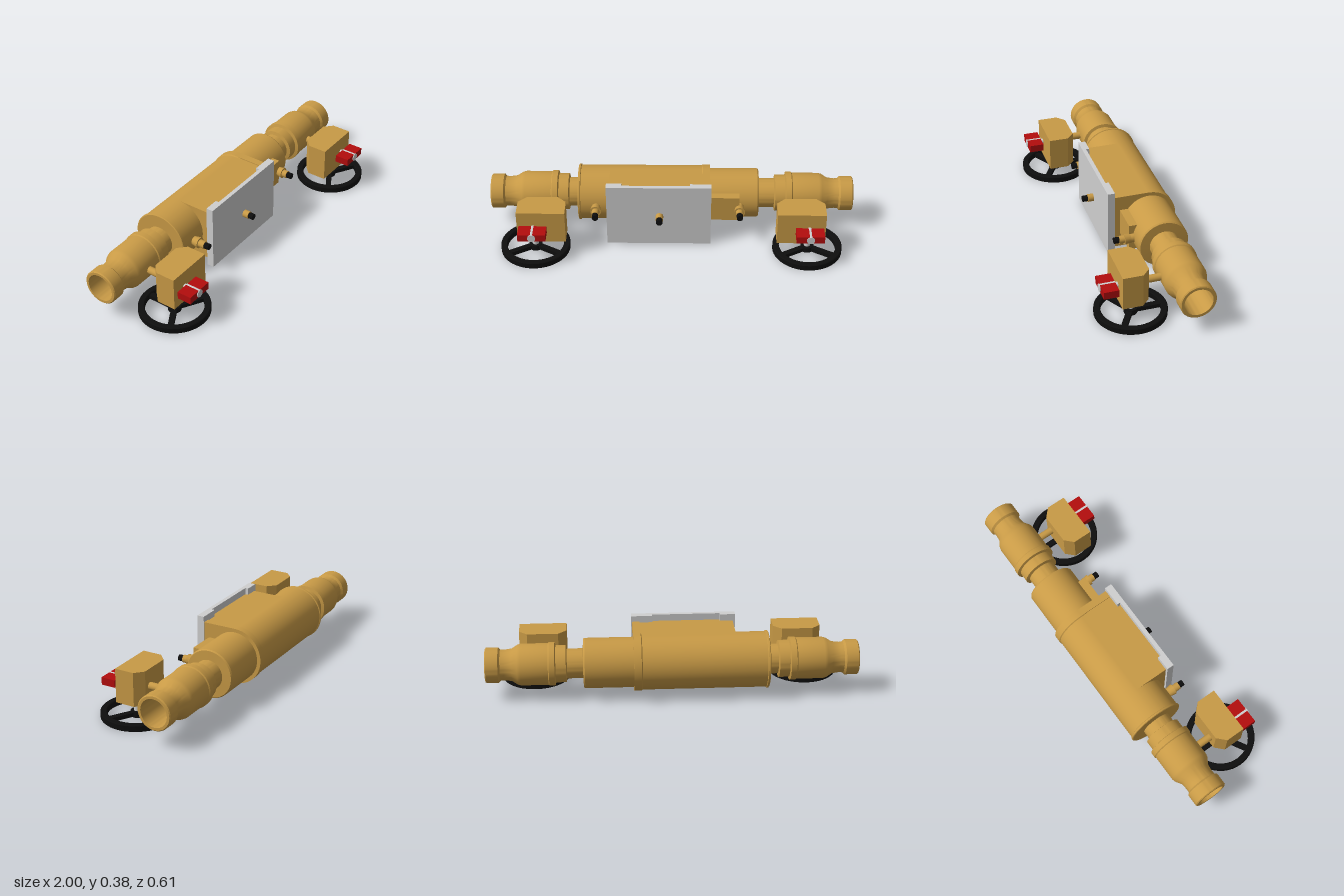
import * as THREE from 'three';
import { toCreasedNormals } from 'three/addons/utils/BufferGeometryUtils.js';

const AXIS_Y = 0.188, AXIS_Z = -0.15, BORE = 0.076;

const material = (name, color) => {
  const m = new THREE.MeshStandardMaterial({ color });
  m.name = name;
  return m;
};

export function createModel() {
  const brass = material('brass', 0xc89a46);
  const steel = material('steel', 0xcfcfcf);
  const red = material('red', 0xb30d0d);
  const black = material('black', 0x0e0e0e);

  const model = new THREE.Group();
  model.name = 'valveAssembly';

  const add = (parent, name, geometry, mat, x = 0, y = 0, z = 0) => {
    const mesh = new THREE.Mesh(geometry, mat);
    mesh.name = name;
    mesh.position.set(x, y, z);
    parent.add(mesh);
    return mesh;
  };
  const box = (w, h, d) => new THREE.BoxGeometry(w, h, d);
  // box given by its limits along each axis
  const span = (parent, name, mat, x0, x1, y0, y1, z0, z1) =>
    add(parent, name, box(x1 - x0, y1 - y0, z1 - z0), mat, (x0 + x1) / 2, (y0 + y1) / 2, (z0 + z1) / 2);
  // cylinder along z from z0 to z1
  const rod = (parent, name, mat, r, x, y, z0, z1, sides = 24) =>
    add(parent, name, new THREE.CylinderGeometry(r, r, z1 - z0, sides).rotateX(Math.PI / 2), mat, x, y, (z0 + z1) / 2);
  // closed lathe from [radius, height] points
  const lathe = (points, sides = 64) => {
    const loop = [...points, points[0]].map(([r, h]) => new THREE.Vector2(r, h));
    return toCreasedNormals(new THREE.LatheGeometry(loop, sides), 0.5);
  };

  // One hollow pipe: right half of the end valve profile, mirrored for the other end
  const endProfile = [
    [0.08, 0.565], [0.1, 0.57], [0.1, 0.625], [0.117, 0.63], [0.117, 0.66], [0.112, 0.665],
    [0.112, 0.81], [0.107, 0.828], [0.087, 0.86], [0.082, 0.9], [0.084, 0.92],
    [0.095, 0.93], [0.095, 0.995], [0.09, 1],
  ];
  const mirrored = endProfile.map(([r, x]) => [r, -x]).reverse();
  const bodyProfile = [
    [0.08, -0.515], [0.15, -0.515], [0.155, -0.512], [0.155, -0.503], [0.15, -0.5], [0.15, 0.165],
    [0.155, 0.17], [0.155, 0.21], [0.135, 0.21], [0.135, 0.47], [0.13, 0.478], [0.08, 0.48],
  ];
  const pipe = lathe([[BORE, -1], ...mirrored, ...bodyProfile, ...endProfile, [BORE, 1]]);
  add(model, 'pipeBody', pipe.rotateZ(-Math.PI / 2), brass, 0, AXIS_Y, AXIS_Z);

  // Saddle: two webs above and below the bore, closed in front of the pipe
  const saddle = new THREE.Group();
  saddle.name = 'saddle';
  model.add(saddle);
  const webs = (x0, x1, half) => {
    const s = new THREE.Shape();
    s.moveTo(-0.037, -half);
    s.lineTo(-AXIS_Z, -half);
    s.absarc(-AXIS_Z, 0, BORE + 0.03, -Math.PI / 2, -Math.PI / 2 - Math.PI, true);
    s.lineTo(-AXIS_Z, half);
    s.lineTo(-0.037, half);
    s.closePath();
    const g = new THREE.ExtrudeGeometry(s, { depth: x1 - x0, bevelEnabled: false, curveSegments: 24 });
    return add(saddle, 'saddleWeb', g.rotateY(Math.PI / 2), brass, x0, AXIS_Y, 0);
  };
  webs(-0.34, 0.17, 0.15);
  webs(0.17, 0.21, 0.155);
  span(saddle, 'saddlePad', brass, -0.27, 0.1, 0.038, 0.338, 0.03, 0.055);

  // Front plate with thicker side strips
  const plate = new THREE.Group();
  plate.name = 'frontPlate';
  model.add(plate);
  span(plate, 'plateSheet', steel, -0.353, 0.215, 0.003, 0.375, 0.055, 0.077);
  span(plate, 'plateStrip', steel, -0.353, -0.27, 0.003, 0.375, 0.037, 0.055);
  span(plate, 'plateStrip', steel, 0.1, 0.215, 0.003, 0.375, 0.037, 0.055);

  // Mounting pad beside the plate
  span(model, 'sidePad', brass, 0.2, 0.37, 0.115, 0.262, -0.06, 0.008);

  // Test ports: flared base, stem and black cap
  const port = (x, z, base, tip) => {
    const g = new THREE.Group();
    g.name = 'testPort';
    g.position.set(x, AXIS_Y, z);
    model.add(g);
    if (base) {
      rod(g, 'portBase', brass, 0.024, 0, 0, -0.05, 0.015);
      add(g, 'portNut', new THREE.CylinderGeometry(0.031, 0.025, 0.035, 12).rotateX(Math.PI / 2), brass, 0, 0, 0.02);
    }
    rod(g, 'portStem', brass, 0.021, 0, 0, 0, tip - 0.028);
    rod(g, 'portCap', black, 0.017, 0, 0, tip - 0.03, tip);
  };
  port(-0.415, 0, true, 0.1);
  port(0.372, 0, true, 0.093);
  port(-0.065, 0.07, false, 0.068);

  // Gear operators with handwheels, one on each end valve
  const gearShape = new THREE.Shape([
    [-0.13, -0.187], [0.13, -0.187], [0.13, -0.08], [0.085, -0.037], [-0.085, -0.037], [-0.13, -0.08],
  ].map(([x, y]) => new THREE.Vector2(x, y)));
  const gearGeometry = new THREE.ExtrudeGeometry(gearShape, { depth: 0.187, bevelEnabled: false }).rotateX(-Math.PI / 2);
  const rimGeometry = lathe([
    [0.155, 0.004], [0.159, 0], [0.185, 0], [0.189, 0.004], [0.189, 0.033], [0.185, 0.037], [0.159, 0.037], [0.155, 0.033],
  ], 48);

  for (const side of [-1, 1]) {
    const op = new THREE.Group();
    op.name = side > 0 ? 'leftOperator' : 'rightOperator';
    op.position.x = side * 0.743;
    model.add(op);

    rod(op, 'valveStem', brass, 0.02, 0, AXIS_Y, -0.05, 0.045);
    add(op, 'gearbox', gearGeometry, brass, -side * 0.043, 0.095, 0);

    // Position indicator
    rod(op, 'indicatorShaft', steel, 0.015, 0, AXIS_Y, 0.18, 0.21);
    rod(op, 'indicatorHub', steel, 0.0215, 0, AXIS_Y, 0.2, 0.285);
    add(op, 'indicatorBar', box(0.15, 0.041, 0.08), red, 0, AXIS_Y, 0.241);

    // Handwheel: rim, hub and three spokes
    const wheel = new THREE.Group();
    wheel.name = 'handwheel';
    wheel.position.z = 0.118;
    op.add(wheel);
    add(wheel, 'wheelRim', rimGeometry, black);
    add(wheel, 'wheelHub', new THREE.CylinderGeometry(0.035, 0.035, 0.03, 24), black, 0, 0.018, 0);
    add(wheel, 'wheelShaft', new THREE.CylinderGeometry(0.018, 0.018, 0.094, 24), steel, 0, 0.053, 0);
    for (let i = 0; i < 3; i++) {
      const spoke = box(0.03, 0.022, 0.145).translate(0, 0, -0.09);
      add(wheel, 'wheelSpoke', spoke, black, 0, 0.018, 0).rotation.y = (i * 2 * Math.PI) / 3;
    }
  }
  return model;
}
